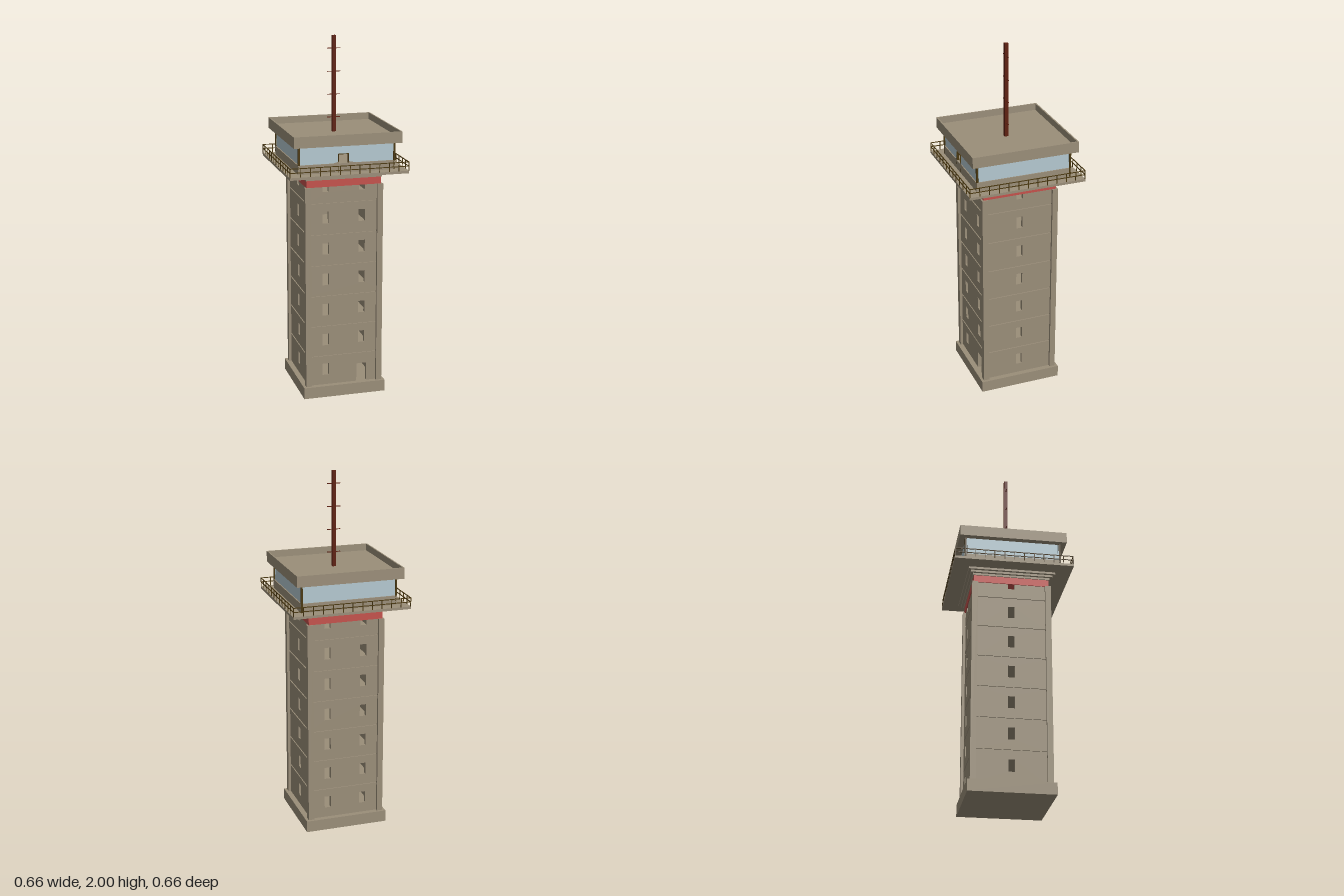
import * as THREE from 'three';

const material = (name, color) => {
  const m = new THREE.MeshStandardMaterial({ color });
  m.name = name;
  return m;
};

export function createModel() {
  const concrete = material('concrete', 0x9a8e79);
  const red = material('red band', 0xc4524c);
  const glass = material('pale glass', 0xb4c8d0);
  const bronze = material('dark bronze', 0x4a3810);
  const rust = material('rust', 0x5e2010);

  const model = new THREE.Group();
  model.name = 'controlTower';

  const box = (name, mat, w, h, d, x, y, z, parent = model) => {
    const mesh = new THREE.Mesh(new THREE.BoxGeometry(w, h, d), mat);
    mesh.name = name;
    mesh.position.set(x, y, z);
    parent.add(mesh);
    return mesh;
  };
  // Square slab standing between two heights
  const slab = (name, mat, half, y0, y1) =>
    box(name, mat, half * 2, y1 - y0, half * 2, 0, (y0 + y1) / 2, 0);

  // One wall with openings [x0, x1, low, high]; those reaching an edge become notches
  const wall = (name, mat, half, y0, y1, outer, thick, openings, parent) => {
    const pts = [[-half, y0]];
    const holes = [];
    for (const [a, b, lo, hi] of openings) {
      if (lo <= y0) pts.push([a, y0], [a, hi], [b, hi], [b, y0]);
      else if (hi < y1) holes.push([[a, lo], [a, hi], [b, hi], [b, lo]]);
    }
    pts.push([half, y0], [half, y1]);
    for (const [a, b, lo, hi] of [...openings].reverse()) {
      if (lo > y0 && hi >= y1) pts.push([b, y1], [b, lo], [a, lo], [a, y1]);
    }
    pts.push([-half, y1]);
    const vec = (list) => list.map(([x, y]) => new THREE.Vector2(x, y));
    const shape = new THREE.Shape(vec(pts));
    holes.forEach((h) => shape.holes.push(new THREE.Path(vec(h))));
    const mesh = new THREE.Mesh(
      new THREE.ExtrudeGeometry(shape, { depth: thick, bevelEnabled: false }), mat);
    mesh.name = name;
    mesh.position.z = outer - thick;
    parent.add(mesh);
  };

  // Four groups facing front, left, back and right
  const sides = ['front', 'left', 'back', 'right'].map((name, i) => {
    const g = new THREE.Group();
    g.name = name + 'Side';
    g.rotation.y = i * Math.PI / 2;
    model.add(g);
    return g;
  });

  // Plinth, shaft corner piers and band
  const step = 0.1765, shaftBottom = 0.065, shaftTop = 1.21;
  slab('plinth', concrete, 0.235, 0, shaftBottom);
  for (const x of [-1, 1]) for (const z of [-1, 1]) {
    box('cornerPier', concrete, 0.032, shaftTop - shaftBottom, 0.032,
      x * 0.204, (shaftTop + shaftBottom) / 2, z * 0.204);
  }
  slab('redBand', red, 0.21, shaftTop, 1.25);

  // Storeys: wall panels with open windows, separated by recessed floor slabs
  for (let k = 0; k < 7; k++) {
    const joint = 0.238 + k * step;
    const y0 = k === 0 ? shaftBottom : joint - step + 0.004;
    const y1 = k === 6 ? shaftTop : joint - 0.004;
    const lo = 0.122 + k * step, hi = lo + 0.067;
    sides.forEach((side, i) => {
      const centres = i % 2 ? [0] : [-0.103, 0.103];
      const openings = centres.map((c) => [c - 0.018, c + 0.018, lo, hi]);
      if (k === 0 && i === 0) openings[1] = [0.076, 0.134, shaftBottom, 0.17];
      wall('storeyWall', concrete, i % 2 ? 0.185 : 0.205, y0, y1, 0.205, 0.02, openings, side);
    });
    if (k < 6) slab('floorSlab', concrete, 0.199, joint - 0.004, joint + 0.004);
  }

  // Stepped corbel and gallery deck
  [0.215, 0.228, 0.242].forEach((half, i) =>
    slab('corbelStep', concrete, half, 1.25 + i * 0.012, 1.262 + i * 0.012));
  slab('galleryDeck', concrete, 0.33, 1.286, 1.3);

  // Cabin sill, windows and gallery railing
  const door = [-0.047, 0.008];
  sides.forEach((side, i) => {
    const inset = i % 2 ? 0.01 : 0;
    wall('cabinSill', concrete, 0.27 - inset, 1.3, 1.35, 0.27, 0.01,
      i === 0 ? [[...door, 1.3, 1.36]] : [], side);
    wall('cabinWindow', glass, 0.264 - inset, 1.35, 1.45, 0.264, 0.008,
      i === 0 ? [[...door, 1.35, 1.4]] : [], side);
    for (const y of [1.325, 1.348]) {
      box('rail', bronze, 0.66, 0.004, 0.004, 0, y, 0.328, side);
    }
    for (let p = 0; p < 12; p++) {
      box('railPost', bronze, 0.004, 0.05, 0.004, -0.328 + p * 0.656 / 12, 1.325, 0.328, side);
    }
    box('cabinPost', bronze, 0.01, 0.15, 0.01, 0.265, 1.375, 0.265, side);
  });

  // Door surround in the front of the cabin
  for (const x of door) box('doorJamb', bronze, 0.003, 0.1, 0.014, x, 1.35, 0.263);
  box('doorHead', bronze, 0.058, 0.003, 0.014, -0.0195, 1.4, 0.263);

  // Roof with a thin parapet
  slab('roof', concrete, 0.295, 1.45, 1.472);
  sides.forEach((side, i) =>
    wall('parapet', concrete, i % 2 ? 0.292 : 0.3, 1.449, 1.51, 0.3, 0.008, [], side));

  // Mast and its cross bars
  box('mast', rust, 0.02, 0.53, 0.02, 0, 1.735, 0);
  for (const y of [1.552, 1.678, 1.804, 1.93]) {
    box('mastBar', rust, 0.074, 0.004, 0.004, 0, y, 0);
  }
  return model;
}
